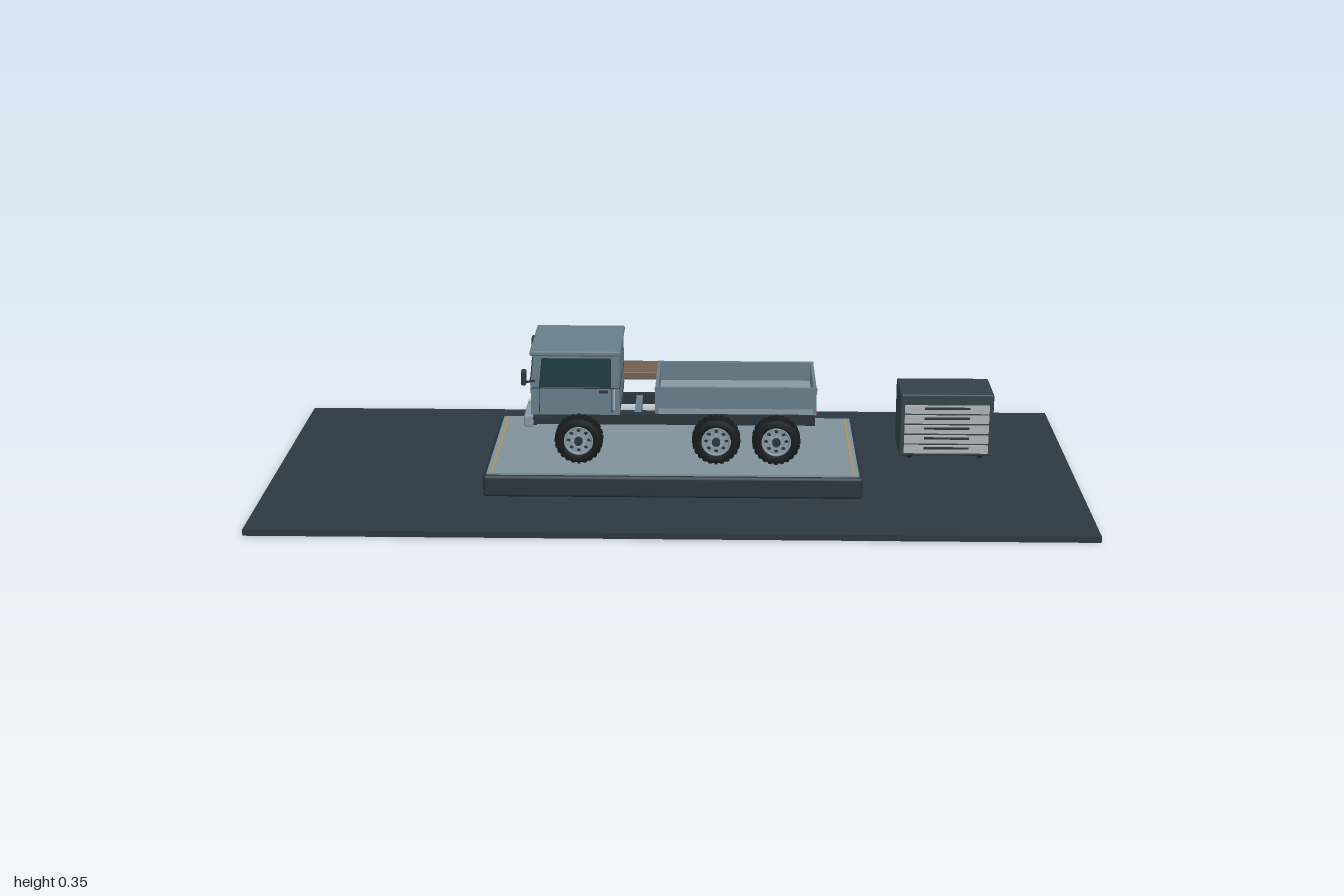
import * as THREE from 'three';
import { RoundedBoxGeometry } from 'three/addons/geometries/RoundedBoxGeometry.js';

const mat = (color) => new THREE.MeshStandardMaterial({ color });
const M = {
  floor: mat(0x2d3841), plinth: mat(0x2a353d), deck: mat(0x80919b), body: mat(0x687e8b),
  pale: mat(0x8799a4), dark: mat(0x2a343b), tire: mat(0x171b1e), glass: mat(0x1f3d46),
  metal: mat(0xaab4ba), wood: mat(0x706153), cabinet: mat(0x35424b), drawer: mat(0xb0b5b8),
  gold: mat(0xa8945f), lamp: mat(0xe0e0d4), red: mat(0x8c2f2b),
};

function add(parent, name, geometry, material, x = 0, y = 0, z = 0) {
  const mesh = new THREE.Mesh(geometry, material);
  mesh.name = name;
  mesh.position.set(x, y, z);
  parent.add(mesh);
  return mesh;
}

// Box given by its limits on each axis; r rounds the edges.
function box(parent, name, material, [x0, x1], [y0, y1], [z0, z1], r = 0) {
  const s = [x1 - x0, y1 - y0, z1 - z0];
  const g = r ? new RoundedBoxGeometry(...s, 2, r) : new THREE.BoxGeometry(...s);
  return add(parent, name, g, material, (x0 + x1) / 2, (y0 + y1) / 2, (z0 + z1) / 2);
}

// Cylinder lying along z.
function rod(parent, name, material, r, length, x, y, z, sides = 24) {
  const mesh = add(parent, name, new THREE.CylinderGeometry(r, r, length, sides), material, x, y, z);
  mesh.rotation.x = Math.PI / 2;
  return mesh;
}

function group(parent, name) {
  const g = new THREE.Group();
  g.name = name;
  parent.add(g);
  return g;
}

// Wheel with its outer face toward +z, centred on its own origin.
function makeWheel(parent) {
  const wheel = group(parent, 'wheel');
  const profile = [[0.034, -0.02], [0.052, -0.02], [0.057, -0.015], [0.057, 0.015], [0.052, 0.02],
    [0.036, 0.02], [0.034, 0.016], [0.034, -0.02]].map(([r, h]) => new THREE.Vector2(r, h));
  add(wheel, 'tire', new THREE.LatheGeometry(profile, 40), M.tire).rotation.x = Math.PI / 2;
  for (let i = 0; i < 24; i++) {
    const a = (i / 24) * Math.PI * 2;
    const lug = add(wheel, 'treadBlock', new THREE.BoxGeometry(0.004, 0.008, 0.034), M.tire,
      Math.cos(a) * 0.057, Math.sin(a) * 0.057, 0);
    lug.rotation.z = a;
  }
  add(wheel, 'rimRing', new THREE.TorusGeometry(0.034, 0.003, 8, 36), M.pale, 0, 0, 0.018);
  // Rim disc with a ring of round openings
  const disc = new THREE.Shape().absarc(0, 0, 0.034, 0, Math.PI * 2);
  for (let i = 0; i < 8; i++) {
    const a = (i / 8) * Math.PI * 2;
    disc.holes.push(new THREE.Path().absarc(Math.cos(a) * 0.025, Math.sin(a) * 0.025, 0.005, 0, Math.PI * 2, true));
    rod(wheel, 'wheelBolt', M.metal, 0.0018, 0.005, Math.cos(a) * 0.015, Math.sin(a) * 0.015, 0.018, 8);
  }
  add(wheel, 'rimDisc', new THREE.ExtrudeGeometry(disc, { depth: 0.006, bevelEnabled: false, curveSegments: 20 }), M.pale, 0, 0, 0.01);
  rod(wheel, 'innerDrum', M.dark, 0.033, 0.022, 0, 0, -0.004);
  rod(wheel, 'hub', M.dark, 0.01, 0.018, 0, 0, 0.019);
  return wheel;
}

function makeCab(truck) {
  const cab = group(truck, 'cab');
  const side = new THREE.Shape([[-0.35, 0.19], [-0.132, 0.19], [-0.132, 0.342], [-0.342, 0.342], [-0.35, 0.262]]
    .map(([x, y]) => new THREE.Vector2(x, y)));
  add(cab, 'cabBody', new THREE.ExtrudeGeometry(side, { depth: 0.228, bevelEnabled: false }), M.body, 0, 0, -0.114);
  box(cab, 'roof', M.body, [-0.351, -0.129], [0.34, 0.353], [-0.119, 0.119], 0.004);
  box(cab, 'sill', M.dark, [-0.345, -0.135], [0.183, 0.192], [-0.112, 0.112]);
  for (const y of [0.205, 0.258]) box(cab, 'rearSeam', M.dark, [-0.133, -0.1312], [y, y + 0.002], [-0.114, 0.114]);

  // Windscreen follows the slope of the cab front
  const tilt = -Math.atan2(0.008, 0.08);
  const front = group(cab, 'windscreen');
  front.position.set(-0.3465, 0.3, 0);
  front.rotation.z = tilt;
  box(front, 'windscreenFrame', M.dark, [-0.0015, 0.002], [-0.036, 0.036], [-0.106, 0.106]);
  box(front, 'windscreenGlass', M.glass, [-0.003, 0.002], [-0.032, 0.032], [-0.102, 0.102]);
  for (const z of [-0.045, 0.045]) {
    const wiper = box(front, 'wiper', M.tire, [-0.006, -0.003], [-0.031, -0.028], [z - 0.035, z + 0.035]);
    wiper.rotation.x = 0.25;
  }

  // Grille, bumper and step
  box(cab, 'grille', M.dark, [-0.354, -0.349], [0.203, 0.243], [-0.06, 0.06]);
  for (let i = 0; i < 4; i++) {
    box(cab, 'grilleSlat', M.pale, [-0.357, -0.353], [0.208 + i * 0.009, 0.211 + i * 0.009], [-0.057, 0.057]);
  }
  box(cab, 'bumper', M.pale, [-0.368, -0.346], [0.158, 0.188], [-0.116, 0.116], 0.004);
  box(cab, 'bumperStep', M.dark, [-0.364, -0.34], [0.151, 0.158], [-0.08, 0.08]);

  for (const s of [-1, 1]) {
    const z = (a, b) => [Math.min(s * a, s * b), Math.max(s * a, s * b)];
    const lamp = add(cab, 'headlight', new THREE.CylinderGeometry(0.013, 0.013, 0.01, 20), M.lamp, -0.352, 0.223, s * 0.086);
    lamp.rotation.z = Math.PI / 2;
    // Door with its window, seams and handle
    const pane = (grow) => new THREE.Shape([[-0.326 - grow, 0.264 - grow], [-0.157 + grow, 0.264 - grow],
      [-0.157 + grow, 0.33 + grow], [-0.318 - grow, 0.33 + grow]].map(([x, y]) => new THREE.Vector2(x, y)));
    const sheet = (grow, d) => new THREE.ExtrudeGeometry(pane(grow), { depth: d, bevelEnabled: false });
    add(cab, 'sideWindowFrame', sheet(0.004, 0.002), M.dark, 0, 0, s > 0 ? 0.1135 : -0.1155);
    add(cab, 'sideWindow', sheet(0, 0.003), M.glass, 0, 0, s > 0 ? 0.1135 : -0.1165);
    box(cab, 'waistSeam', M.dark, [-0.348, -0.132], [0.257, 0.2585], z(0.113, 0.115));
    for (const x of [-0.33, -0.152]) box(cab, 'doorSeam', M.dark, [x, x + 0.0015], [0.195, 0.257], z(0.113, 0.115));
    box(cab, 'doorHandle', M.dark, [-0.182, -0.16], [0.247, 0.252], z(0.113, 0.12));
    box(cab, 'grabRail', M.metal, [-0.147, -0.143], [0.205, 0.255], z(0.116, 0.12));
    box(cab, 'cabStep', M.dark, [-0.345, -0.295], [0.178, 0.184], z(0.09, 0.122));
    // Mirror
    const arm = new THREE.CatmullRomCurve3([[-0.34, 0.276, 0.112], [-0.355, 0.279, 0.13], [-0.362, 0.284, 0.147]]
      .map(([x, y, d]) => new THREE.Vector3(x, y, s * d)));
    add(cab, 'mirrorArm', new THREE.TubeGeometry(arm, 10, 0.003, 8), M.dark);
    box(cab, 'mirror', M.dark, [-0.369, -0.357], [0.278, 0.314], z(0.138, 0.16), 0.003);
  }
}

function makeBed(truck) {
  const bed = group(truck, 'cargoBed');
  box(bed, 'bedFloor', M.pale, [-0.043, 0.348], [0.203, 0.213], [-0.11, 0.11]);
  box(bed, 'subframe', M.dark, [-0.04, 0.345], [0.184, 0.203], [-0.085, 0.085]);
  for (const s of [-1, 1]) {
    box(bed, 'sideBoard', M.body, [-0.045, 0.35], [0.207, 0.258], [s * 0.109 - 0.004, s * 0.109 + 0.004]);
    box(bed, 'sideRail', M.body, [-0.046, 0.351], [0.254, 0.261], [s * 0.109 - 0.005, s * 0.109 + 0.005]);
    box(bed, 'edgeBeam', M.pale, [-0.045, 0.35], [0.193, 0.207], [s * 0.108 - 0.004, s * 0.108 + 0.004]);
    box(bed, 'tailLight', M.red, [0.344, 0.352], [0.186, 0.196], [s * 0.09 - 0.012, s * 0.09 + 0.012]);
  }
  for (const x of [-0.041, 0.346]) {
    box(bed, 'endBoard', M.body, [x - 0.004, x + 0.004], [0.195, 0.259], [-0.113, 0.113]);
  }
}

function makeTruck(model) {
  const truck = group(model, 'truck');
  for (const s of [-1, 1]) {
    box(truck, 'chassisRail', M.dark, [-0.345, 0.348], [0.158, 0.184], [s * 0.082 - 0.01, s * 0.082 + 0.01]);
  }
  for (const x of [-0.32, -0.09, 0.02, 0.18, 0.34]) {
    box(truck, 'crossMember', M.body, [x - 0.008, x + 0.008], [0.16, 0.182], [-0.075, 0.075]);
  }
  for (const x of [-0.232, 0.105, 0.252]) {
    rod(truck, 'axle', M.metal, 0.012, 0.24, x, 0.134, 0);
    for (const s of [-1, 1]) {
      box(truck, 'leafSpring', M.dark, [x - 0.04, x + 0.04], [0.146, 0.159], [s * 0.082 - 0.007, s * 0.082 + 0.007]);
      const wheel = makeWheel(truck);
      wheel.position.set(x, 0.134, s * 0.131);
      if (s < 0) wheel.rotation.y = Math.PI;
    }
  }
  makeCab(truck);
  makeBed(truck);
}

function makeBench(model) {
  const bench = group(model, 'bench');
  box(bench, 'benchSeat', M.wood, [-0.352, 0.35], [0.152, 0.173], [-0.408, -0.3], 0.003);
  for (const x of [-0.325, 0.325]) {
    box(bench, 'benchLeg', M.dark, [x - 0.007, x + 0.007], [0.045, 0.153], [-0.36, -0.346]);
    add(bench, 'benchLegStem', new THREE.CylinderGeometry(0.006, 0.006, 0.02, 16), M.metal, x, 0.038, -0.353);
    add(bench, 'benchFoot', new THREE.CylinderGeometry(0.018, 0.018, 0.016, 24), M.tire, x, 0.025, -0.353);
    add(bench, 'benchFootBase', new THREE.CylinderGeometry(0.012, 0.012, 0.006, 24), M.tire, x, 0.016, -0.353);
  }
}

function makeCabinet(model) {
  const cabinet = group(model, 'toolCabinet');
  box(cabinet, 'cabinetBody', M.cabinet, [0.572, 0.808], [0.026, 0.19], [-0.21, -0.067], 0.004);
  for (const x of [0.6, 0.78]) {
    for (const z of [-0.19, -0.09]) rod(cabinet, 'caster', M.tire, 0.007, 0.01, x, 0.021, z, 16);
  }
  for (let i = 0; i < 5; i++) {
    const y = 0.034 + i * 0.0265;
    box(cabinet, 'drawerFront', M.drawer, [0.583, 0.797], [y, y + 0.022], [-0.07, -0.064]);
    box(cabinet, 'drawerHandle', M.dark, [0.633, 0.747], [y + 0.013, y + 0.017], [-0.064, -0.057]);
  }
}

export function createModel() {
  const model = new THREE.Group();
  model.name = 'truckDisplay';
  box(model, 'floor', M.floor, [-1, 1], [0, 0.015], [-0.46, 0.46]);
  // Display plinth with pale deck and inlaid strips
  box(model, 'plinth', M.plinth, [-0.461, 0.461], [0.015, 0.07], [-0.229, 0.229], 0.008);
  box(model, 'plinthDeck', M.deck, [-0.452, 0.452], [0.066, 0.0745], [-0.221, 0.221]);
  for (const x of [-0.439, 0.439]) box(model, 'deckStrip', M.gold, [x - 0.003, x + 0.003], [0.07, 0.0755], [-0.21, 0.21]);
  makeTruck(model);
  makeBench(model);
  makeCabinet(model);
  return model;
}
